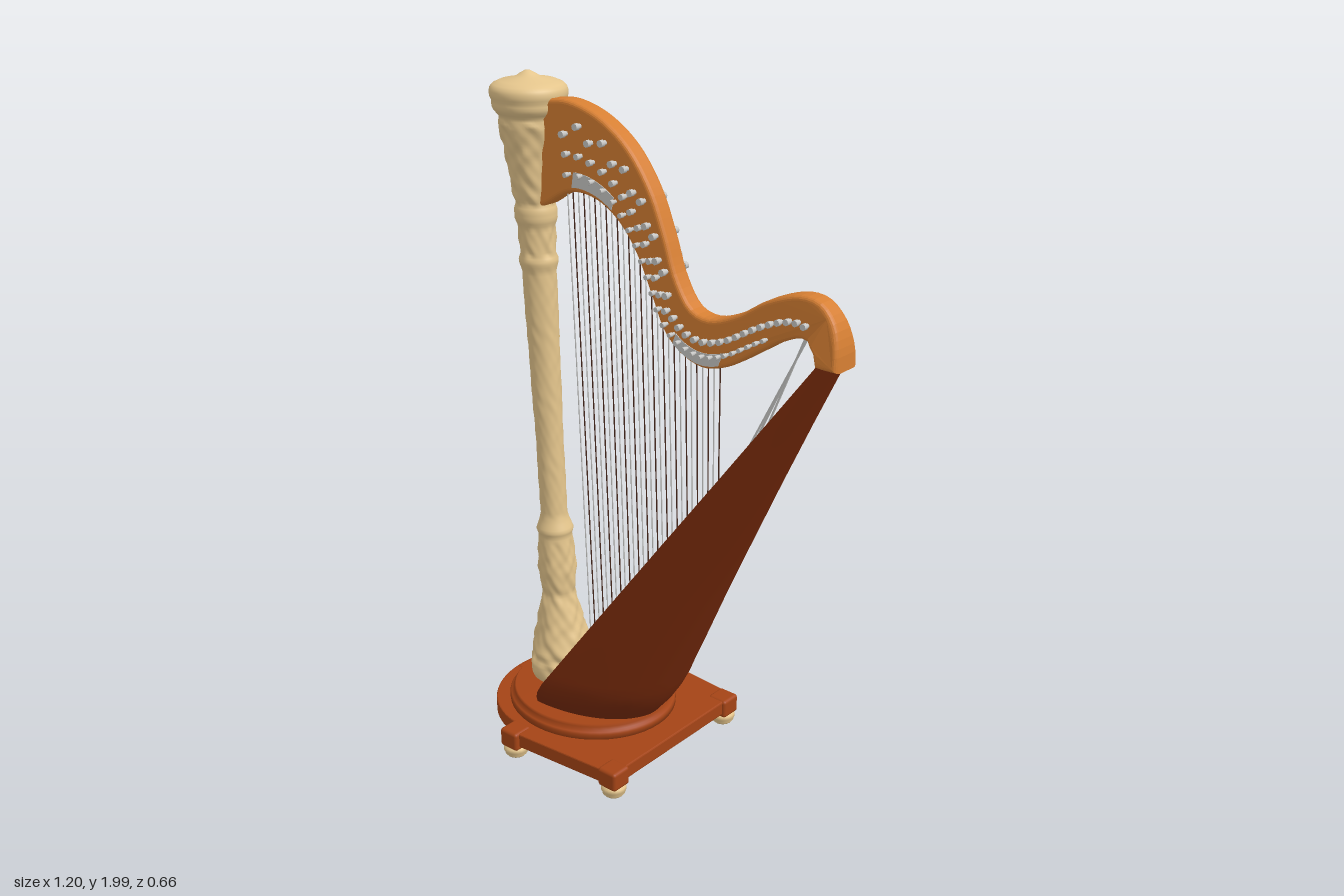
import * as THREE from 'three';
import { mergeGeometries, mergeVertices } from 'three/addons/utils/BufferGeometryUtils.js';
import { RoundedBoxGeometry } from 'three/addons/geometries/RoundedBoxGeometry.js';

const V = (x, y, z = 0) => new THREE.Vector3(x, y, z);
const mat = (name, color) => Object.assign(new THREE.MeshStandardMaterial({ color }), { name });

// Linear interpolation through a table of [key, value] rows
function lookup(table, key) {
  let i = 1;
  while (i < table.length - 1 && table[i][0] < key) i++;
  const a = table[i - 1], b = table[i];
  const k = THREE.MathUtils.clamp((key - a[0]) / (b[0] - a[0]), 0, 1);
  return a[1] + (b[1] - a[1]) * k;
}

// Smooth surface through rows of points
function loft(rows) {
  const n = rows[0].length, index = [];
  for (let i = 0; i < rows.length - 1; i++) for (let j = 0; j < n - 1; j++) {
    const a = i * n + j;
    index.push(a, a + 1, a + n, a + 1, a + n + 1, a + n);
  }
  const g = new THREE.BufferGeometry().setFromPoints(rows.flat());
  g.setIndex(index);
  g.computeVertexNormals();
  return g;
}

// Rod between two points
function rod(a, b, r, sides = 6) {
  const d = b.clone().sub(a);
  const g = new THREE.CylinderGeometry(r, r, d.length(), sides);
  g.applyQuaternion(new THREE.Quaternion().setFromUnitVectors(V(0, 1), d.normalize()));
  const m = a.clone().add(b).multiplyScalar(0.5);
  return g.translate(m.x, m.y, m.z);
}

export function createModel() {
  const model = new THREE.Group();
  model.name = 'harp';
  const cream = mat('carved cream', 0xe4c58c), amber = mat('amber wood', 0xd67f33);
  const dark = mat('dark walnut', 0x782a0b), red = mat('red brown wood', 0xa44416);
  const silver = mat('silver metal', 0xc8c8c6), gut = mat('dark string', 0x4a2a1e);
  const add = (name, geometry, material) => {
    const m = new THREE.Mesh(geometry, material);
    m.name = name;
    model.add(m);
    return m;
  };

  // Column: turned profile [height, radius], leaning, with carved relief
  const profile = [[0.13, 0.094], [0.15, 0.1], [0.19, 0.1], [0.205, 0.09], [0.225, 0.093], [0.3, 0.075],
    [0.38, 0.059], [0.42, 0.05], [0.445, 0.054], [0.5, 0.058], [0.6, 0.052], [0.615, 0.051], [0.63, 0.057],
    [0.65, 0.05], [0.66, 0.046], [0.68, 0.041], [0.9, 0.041], [1.2, 0.046], [1.44, 0.05], [1.47, 0.058],
    [1.49, 0.051], [1.57, 0.053], [1.59, 0.061], [1.62, 0.061], [1.635, 0.055], [1.66, 0.062], [1.8, 0.078],
    [1.86, 0.09], [1.88, 0.086], [1.895, 0.1], [1.91, 0.106], [1.92, 0.103], [1.935, 0.11], [1.955, 0.109],
    [1.97, 0.095], [1.98, 0.06], [1.984, 0.028], [1.995, 0.022], [2, 0.008]];
  const pts = [];
  for (let y = 0.13; y < 1.9995; y += 0.0085) pts.push(new THREE.Vector2(lookup(profile, y), y));
  pts.push(new THREE.Vector2(0.008, 2), new THREE.Vector2(0.0001, 2));
  let column = new THREE.LatheGeometry(pts, 64);
  column.deleteAttribute('uv');
  column.deleteAttribute('normal');
  column = mergeVertices(column);
  const p = column.attributes.position;
  for (let i = 0; i < p.count; i++) {
    const x = p.getX(i), y = p.getY(i), z = p.getZ(i), a = Math.atan2(x, z);
    const carved = (y > 0.15 && y < 0.6) || (y > 1.64 && y < 1.87) || (y > 1.49 && y < 1.57);
    const amp = carved ? 0.05 : y > 0.68 && y < 1.45 ? 0.02 : 0;
    const k = 1 + amp * (Math.cos(6 * a + 2 * Math.sin(y * 30)) * Math.cos(y * 55)
      + 0.4 * Math.cos(12 * a) * Math.sin(y * 110));
    p.setXYZ(i, x * k - 0.41 - 0.0403 * (y - 0.14), y, z * k);
  }
  column.computeVertexNormals();
  add('column', column, cream);

  // Neck: outline between an upper and a lower curve, widened at its shoulder
  const upper = new THREE.CatmullRomCurve3([[-0.45, 1.925], [-0.38, 1.938], [-0.31, 1.942], [-0.2, 1.912],
    [-0.1, 1.845], [-0.02, 1.74], [0.03, 1.625], [0.07, 1.515], [0.12, 1.445], [0.18, 1.43], [0.27, 1.46],
    [0.37, 1.52], [0.47, 1.553], [0.53, 1.545], [0.575, 1.5], [0.595, 1.44], [0.598, 1.378]].map(q => V(...q)));
  const lowerPts = [[-0.45, 1.625], [-0.4, 1.643], [-0.36, 1.668], [-0.32, 1.688], [-0.27, 1.695], [-0.2, 1.68],
    [-0.13, 1.635], [-0.07, 1.56], [-0.02, 1.46], [0.03, 1.36], [0.09, 1.31], [0.16, 1.29], [0.24, 1.31],
    [0.34, 1.37], [0.42, 1.42], [0.48, 1.44], [0.517, 1.42], [0.53, 1.378]];
  const lower = new THREE.CatmullRomCurve3(lowerPts.map(q => V(...q)));
  const onNeck = (t, f) => lower.getPointAt(t).lerp(upper.getPointAt(t), f);
  const slab = (outline, depth, bevel) => {
    const g = new THREE.ExtrudeGeometry(new THREE.Shape(outline.map(q => new THREE.Vector2(q.x, q.y))), {
      depth: depth - 2 * bevel, bevelEnabled: bevel > 0, bevelThickness: bevel, bevelSize: bevel,
      bevelOffset: -bevel, bevelSegments: 4 });
    return g.translate(0, 0, bevel - depth / 2);
  };
  const neck = slab([...lower.getSpacedPoints(70), ...upper.getSpacedPoints(70).reverse()], 0.06, 0.012);
  const np = neck.attributes.position;
  for (let i = 0; i < np.count; i++) {
    const k = np.getX(i) > 0.5 ? THREE.MathUtils.smoothstep(1.55 - np.getY(i), 0, 0.17) : 0;
    np.setZ(i, np.getZ(i) * (1 + 0.65 * k));
  }
  neck.computeVertexNormals();
  add('neck', neck, amber);

  // Metal plates along the lower edge, on both faces
  for (const [t0, t1] of [[0.13, 0.25], [0.56, 0.69]]) {
    const edge = f => Array.from({ length: 13 }, (_, i) => onNeck(t0 + (t1 - t0) * i / 12, f));
    add('neckPlate', slab([...edge(0.06), ...edge(t0 < 0.5 ? 0.24 : 0.3).reverse()], 0.064, 0), silver);
  }

  // Tuning pins through the neck, with round heads
  const pins = [];
  const pin = (t, f, r) => {
    const c = onNeck(t, f);
    pins.push(rod(V(c.x, c.y, -0.045), V(c.x, c.y, 0.045), r * 0.7, 8));
    for (const s of [-1, 1]) pins.push(rod(V(c.x, c.y, s * 0.04), V(c.x, c.y, s * 0.053), r, 8));
  };
  for (let i = 0; i < 13; i++) {
    const t = 0.1 + i * 0.034;
    pin(t, i % 2 ? 0.78 : 0.66, 0.01);
    pin(t + 0.012, 0.45, 0.009);
    pin(t + 0.02, 0.22, 0.0075);
  }
  for (let i = 0; i < 17; i++) {
    const t = 0.545 + i * 0.0215;
    pin(t, 0.55, 0.009);
    if (i < 13) pin(t + 0.01, 0.25, 0.0065);
  }
  add('tuningPins', mergeGeometries(pins), silver);

  // Sound box: half-round sections [height, back x, half width]
  const frontX = y => -0.34 + (y - 0.14) * 0.704;
  const boardY = x => 0.14 + (x + 0.34) / 0.704;
  const sections = [[0.125, -0.04, 0.18], [0.15, -0.02, 0.198], [0.18, 0.005, 0.222], [0.22, 0.03, 0.245],
    [0.26, 0.05, 0.254], [0.3, 0.067, 0.248], [0.4, 0.113, 0.231], [0.6, 0.203, 0.195], [0.8, 0.298, 0.157],
    [1, 0.394, 0.117], [1.2, 0.492, 0.08], [1.385, 0.585, 0.046]];
  add('soundBox', loft(sections.map(([y, back, w]) => Array.from({ length: 33 }, (_, j) => {
    const a = Math.PI * j / 32;
    return V(frontX(y) + (back - frontX(y)) * Math.sin(a), y, w * Math.cos(a));
  }))), dark);

  // Rim around the sound board, which lies a little deeper towards the top
  const rim = y => THREE.MathUtils.lerp(0.003, 0.011, THREE.MathUtils.smoothstep(y, 0.18, 0.3));
  const strip = across => loft(sections.map(([y, , w]) =>
    across(w, w - rim(y), rim(y)).map(([z, d]) => V(frontX(y) + d, y, z))));
  add('soundBoxRim', mergeGeometries([
    strip((w, b) => [[-w, 0], [-b, 0]]), strip((w, b, d) => [[-b, 0], [-b, d]]),
    strip((w, b, d) => [[b, d], [b, 0]]), strip((w, b) => [[b, 0], [w, 0]])]), dark);
  add('soundBoard', strip((w, b, d) => [[-b, d], [0, d], [b, d]]), amber);

  // Strings, near vertical, then slanting ones beside the sound board
  const strings = { silver: [], gut: [] }, studs = [];
  const count = 28;
  for (let i = 0; i < count; i++) {
    const k = i / (count - 1), top = -0.345 + 0.545 * k, foot = -0.285 + 0.485 * k;
    strings[i % 2 ? 'gut' : 'silver'].push(
      rod(V(top, lookup(lowerPts, top) + 0.05), V(foot, boardY(foot - 0.011)), 0.0019));
  }
  for (let i = 0; i < 3; i++) {
    const foot = 0.19 + i * 0.06;
    strings.silver.push(rod(V(0.485 - i * 0.004, 1.45), V(foot, boardY(foot - 0.011)), 0.003));
  }
  add('metalStrings', mergeGeometries(strings.silver), silver);
  add('gutStrings', mergeGeometries(strings.gut), gut);
  for (let i = 0; i < 40; i++) {
    const x = -0.285 + i * 0.02;
    studs.push(new THREE.SphereGeometry(0.009, 8, 6).translate(x + 0.005, boardY(x), 0));
  }
  add('stringStuds', mergeGeometries(studs), silver);

  // Base: plate with a rounded front, then stepped oval plinth
  const plan = new THREE.Shape();
  plan.moveTo(-0.36, -0.312);
  plan.lineTo(0.05, -0.28);
  plan.lineTo(0.05, 0.28);
  plan.lineTo(-0.36, 0.312);
  plan.absellipse(-0.34, 0, 0.25, 0.265, Math.PI * 0.525, Math.PI * 1.475, false);
  const plate = new THREE.ExtrudeGeometry(plan, { depth: 0.037, bevelThickness: 0.004, bevelSize: 0.004,
    bevelSegments: 2, curveSegments: 40 });
  add('basePlate', plate.rotateX(-Math.PI / 2).translate(0, 0.053, 0), red);
  const steps = [[0, 0.09], [1, 0.09], [1, 0.11], [0.985, 0.116], [0.95, 0.118], [0.95, 0.13], [0.93, 0.137], [0, 0.137]];
  const plinth = new THREE.LatheGeometry(steps.map(q => new THREE.Vector2(...q)), 56);
  add('plinth', plinth.scale(0.267, 1, 0.247).translate(-0.285, 0, 0), red);

  // Corner blocks and flat turned feet
  const footProfile = [[0, 0.006], [0.028, 0.006], [0.034, 0.013], [0.031, 0.018], [0.038, 0.025], [0.037, 0.036], [0.028, 0.042]];
  const corners = [[-0.335, 0.292], [0.03, 0.257]].flatMap(([x, z]) => [[x, z], [x, -z]]);
  for (const [x, z] of [...corners, [-0.56, 0]]) {
    const w = z ? 0.068 : 0.06;
    add('footBlock', new RoundedBoxGeometry(w, 0.06, w, 2, 0.01), red).position.set(x, 0.067, z);
    add('foot', new THREE.LatheGeometry(footProfile.map(q => new THREE.Vector2(...q)), 20), cream)
      .position.set(x, 0, z);
  }
  return model;
}
